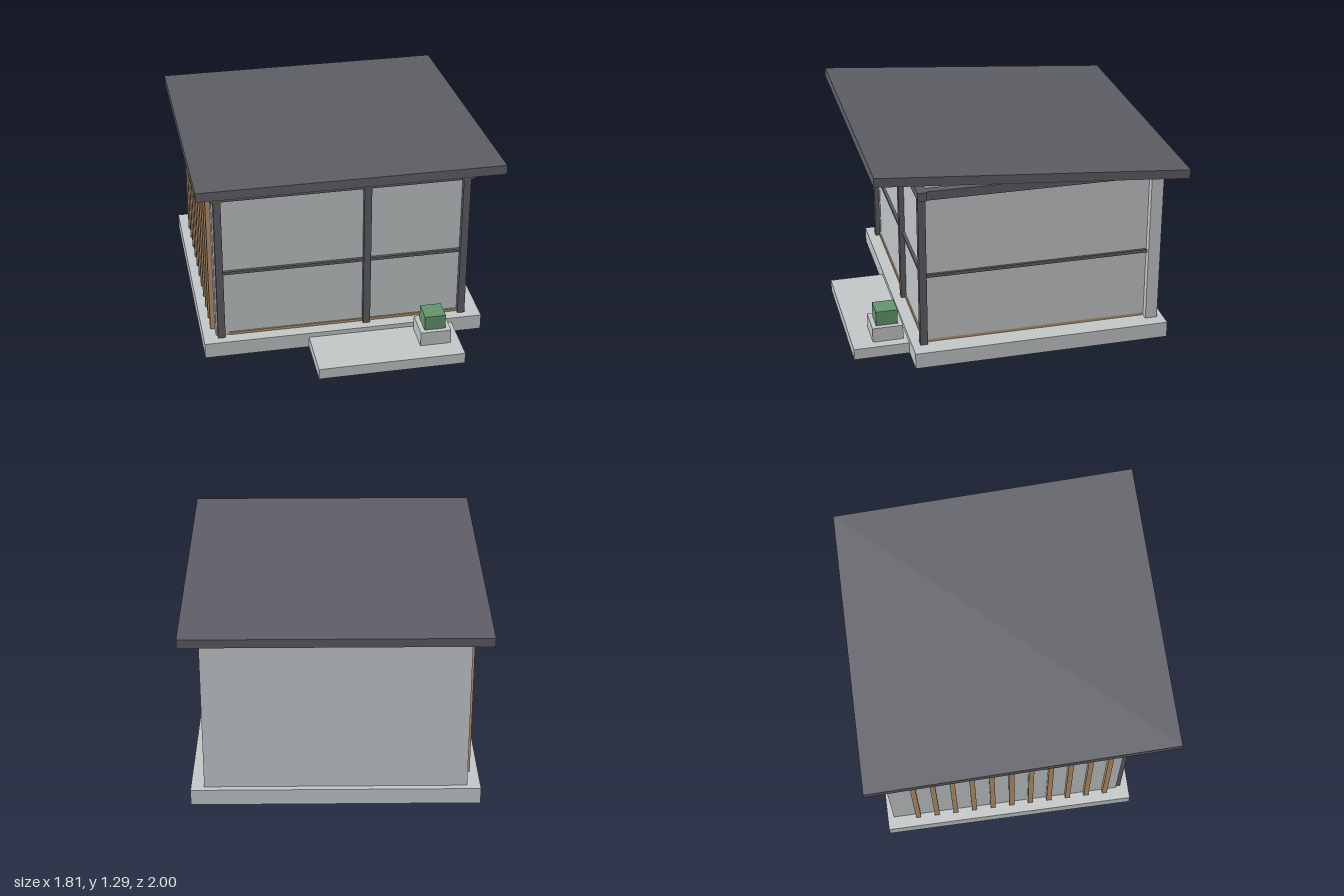
import * as THREE from 'three';

const mat = (name, color) => {
  const m = new THREE.MeshStandardMaterial({ color });
  m.name = name;
  return m;
};

export function createModel() {
  const concrete = mat('pale grey', 0xc4c8ca);
  const metal = mat('dark metal', 0x5f5e66);
  const rail = mat('rail grey', 0x5d6062);
  const wood = mat('warm wood', 0xb8946e);
  const leaf = mat('leaf green', 0x65966f);

  const group = new THREE.Group();
  group.name = 'gardenRoom';

  // Box given by its extents on each axis
  const box = (name, material, [x0, x1], [y0, y1], [z0, z1], parent = group) => {
    const mesh = new THREE.Mesh(new THREE.BoxGeometry(x1 - x0, y1 - y0, z1 - z0), material);
    mesh.position.set((x0 + x1) / 2, (y0 + y1) / 2, (z0 + z1) / 2);
    mesh.name = name;
    parent.add(mesh);
    return mesh;
  };

  // Base, step and floor
  box('plinth', concrete, [-0.87, 0.87], [0, 0.1], [-0.92, 0.66]);
  box('step', concrete, [-0.225, 0.68], [0, 0.07], [0.66, 1]);
  box('floor', wood, [-0.71, 0.745], [0.1, 0.117], [-0.805, 0.585]);

  // Solid walls
  box('backWall', concrete, [-0.79, 0.79], [0.1, 1.1], [-0.88, -0.805]);
  box('sideWall', concrete, [-0.79, -0.71], [0.1, 1.12], [-0.805, 0.58]);

  // Glazed panels on the front and left sides, with mid rails
  box('frontPanel', concrete, [-0.71, 0.745], [0.117, 1.07], [0.565, 0.577]);
  box('sidePanel', concrete, [0.733, 0.745], [0.117, 1.07], [-0.805, 0.565]);
  box('frontRail', rail, [-0.74, 0.735], [0.543, 0.563], [0.572, 0.594]);
  box('sideRail', rail, [0.738, 0.76], [0.543, 0.563], [-0.805, 0.57]);

  // Posts and beams
  for (const x of [-0.758, 0.147, 0.753]) {
    box('post', metal, [x - 0.0225, x + 0.0225], [0.1, 1.06], [0.565, 0.61]);
  }
  box('frontBeam', metal, [-0.8, 0.797], [1.06, 1.115], [0.56, 0.613]);
  box('sideBeam', metal, [0.735, 0.788], [1.06, 1.115], [-0.875, 0.56]);

  // Timber slats on the solid side wall
  const slats = new THREE.Group();
  slats.name = 'slats';
  group.add(slats);
  for (let i = 0; i < 11; i++) {
    const z = -0.72 + i * 0.122;
    box('slat', wood, [-0.818, -0.79], [0.11, 1.085], [z - 0.016, z + 0.016], slats);
  }

  // Sloping roof slab with a timber underside
  const roof = new THREE.Group();
  roof.name = 'roof';
  roof.position.set(0, 1.1825, -0.0575);
  roof.rotation.x = -Math.atan2(0.15, 1.88);
  group.add(roof);
  box('roofSlab', metal, [-0.905, 0.905], [-0.024, 0.028], [-0.943, 0.943], roof);
  box('soffit', wood, [-0.903, 0.903], [-0.028, -0.024], [-0.941, 0.941], roof);

  // Planter on the step
  box('planter', concrete, [0.43, 0.62], [0.07, 0.163], [0.685, 0.873]);
  box('shrub', leaf, [0.46, 0.59], [0.163, 0.257], [0.712, 0.845]);

  return group;
}
